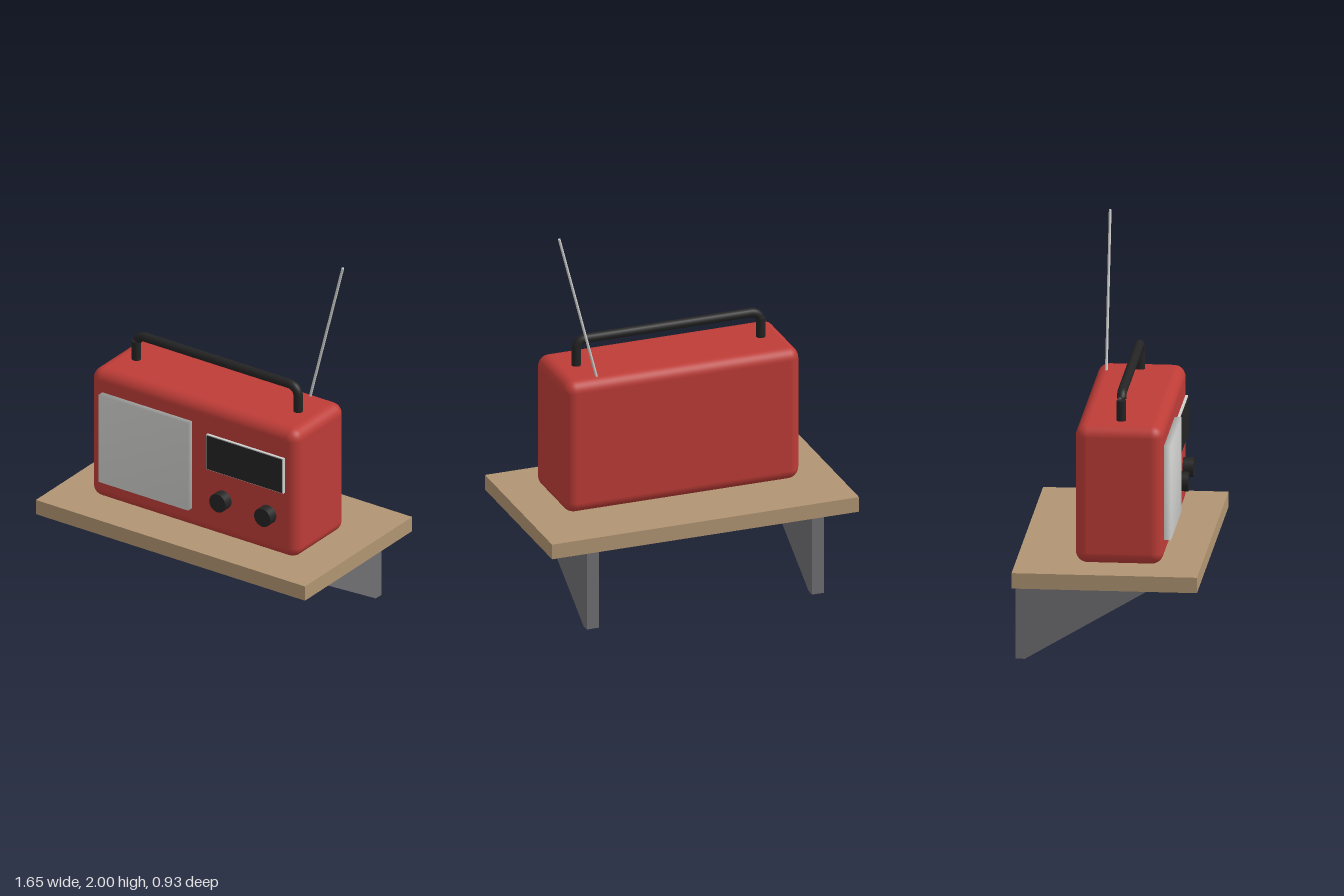
import * as THREE from 'three';
import { mergeVertices } from 'three/addons/utils/BufferGeometryUtils.js';
import { RoundedBoxGeometry } from 'three/addons/geometries/RoundedBoxGeometry.js';

function material(name, color, side = THREE.FrontSide) {
  const m = new THREE.MeshStandardMaterial({ color, side });
  m.name = name;
  return m;
}

export function createModel() {
  const model = new THREE.Group();
  model.name = 'radioOnShelf';

  const red = material('red', 0xbd3c37);
  const wood = material('wood', 0xb19573);
  const grey = material('bracket grey', 0x707072);
  const black = material('black', 0x242424, THREE.DoubleSide);
  const silver = material('silver', 0xcfcfcd);

  function add(name, geometry, mat, x = 0, y = 0, z = 0) {
    const mesh = new THREE.Mesh(geometry, mat);
    mesh.name = name;
    mesh.position.set(x, y, z);
    model.add(mesh);
    return mesh;
  }

  // Shelf board
  add('shelf', new THREE.BoxGeometry(1.65, 0.08, 0.934), wood, 0, 0.458, 0);

  // Triangular wall brackets, drawn in (z, y) and turned to face sideways
  const profile = new THREE.Shape([
    new THREE.Vector2(-0.465, 0.003), new THREE.Vector2(-0.418, 0.003),
    new THREE.Vector2(0.28, 0.418), new THREE.Vector2(-0.465, 0.418),
  ]);
  const bracket = new THREE.ExtrudeGeometry(profile, { depth: 0.064, bevelEnabled: false });
  bracket.translate(0, 0, -0.032).rotateY(-Math.PI / 2);
  add('leftBracket', bracket, grey, 0.605);
  add('rightBracket', bracket, grey, -0.605);

  // Rounded cabinet
  add('cabinet', new RoundedBoxGeometry(1.266, 0.718, 0.442, 5, 0.06), red, 0, 0.858, 0.054);

  // Speaker panel with softly blended normals
  let panel = new THREE.BoxGeometry(0.55, 0.49, 0.05);
  panel.deleteAttribute('normal');
  panel.deleteAttribute('uv');
  panel = mergeVertices(panel);
  panel.computeVertexNormals();
  add('speakerPanel', panel, silver, -0.277, 0.86, 0.285);

  // Tuning dial: bright frame with a dark plate over it
  add('dialFrame', new THREE.BoxGeometry(0.472, 0.196, 0.03), silver, 0.33, 0.967, 0.274);
  add('dialPlate', new THREE.BoxGeometry(0.46, 0.186, 0.006), black, 0.33, 0.967, 0.291);

  // Knobs
  for (const [name, x] of [['volumeKnob', 0.19], ['tuningKnob', 0.465]]) {
    add(name, new THREE.CylinderGeometry(0.05, 0.05, 0.07, 24), black, x, 0.72, 0.293).rotation.x = Math.PI / 2;
  }

  // Carry handle: two posts and a bar with bent ends
  for (const [name, x, top] of [['rightHandlePost', -0.498, 1.32], ['leftHandlePost', 0.494, 1.3]]) {
    add(name, new THREE.CylinderGeometry(0.024, 0.024, top - 1.2, 16), black, x, (top + 1.2) / 2, 0.055);
  }
  const p = (x, y) => new THREE.Vector3(x, y, 0.055);
  const path = new THREE.CurvePath();
  path.add(new THREE.QuadraticBezierCurve3(p(-0.49, 1.328), p(-0.475, 1.355), p(-0.44, 1.355)));
  path.add(new THREE.LineCurve3(p(-0.44, 1.355), p(0.434, 1.355)));
  path.add(new THREE.QuadraticBezierCurve3(p(0.434, 1.355), p(0.494, 1.355), p(0.494, 1.295)));
  add('handleBar', new THREE.TubeGeometry(path, 96, 0.024, 16), black);

  // Leaning aerial
  const foot = new THREE.Vector3(0.443, 1.19, -0.112);
  const tip = new THREE.Vector3(0.65, 1.998, -0.112);
  const aerial = add('aerial', new THREE.CylinderGeometry(0.007, 0.007, foot.distanceTo(tip), 12), silver);
  aerial.position.copy(foot).lerp(tip, 0.5);
  aerial.quaternion.setFromUnitVectors(new THREE.Vector3(0, 1, 0), tip.sub(foot).normalize());

  return model;
}
